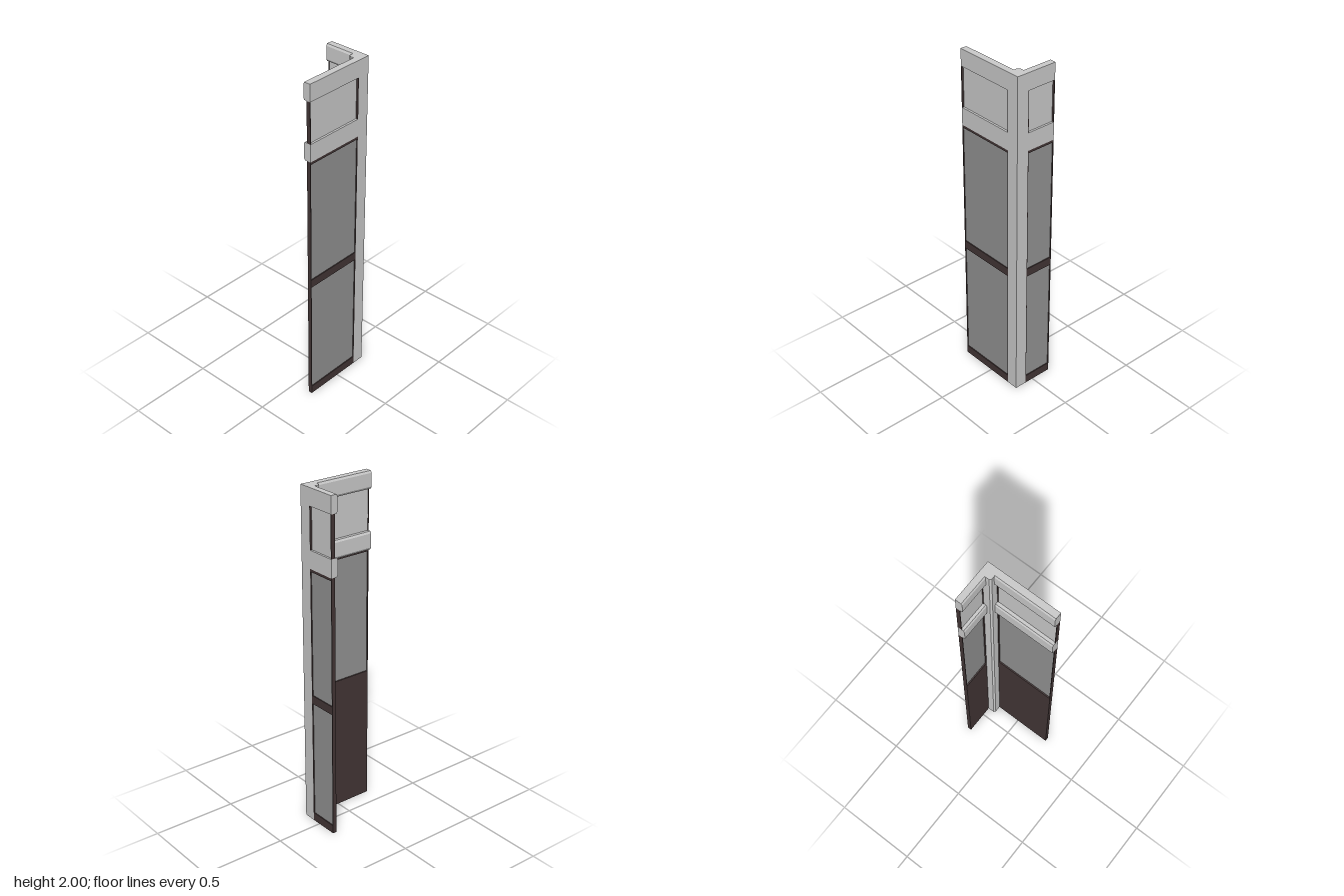
import * as THREE from 'three';

const mat = (name, color) => Object.assign(new THREE.MeshStandardMaterial({ color }), { name });

export function createModel() {
  const plaster = mat('pale plaster', 0xcccccc);
  const pane = mat('grey pane', 0x949494);
  const wood = mat('dark wood', 0x433636);
  const model = new THREE.Group();
  model.name = 'cornerWall';

  // Box given by its ranges along the wall, in height and in depth
  function box(parent, name, material, [x0, x1], [y0, y1], [z0, z1]) {
    const mesh = new THREE.Mesh(new THREE.BoxGeometry(x1 - x0, y1 - y0, z1 - z0), material);
    mesh.position.set((x0 + x1) / 2, (y0 + y1) / 2, (z0 + z1) / 2);
    mesh.name = name;
    parent.add(mesh);
  }

  // Horizontal beam with its two inner edges chamfered
  function beam(parent, name, length, y0, y1, depth) {
    const cy = 0.012, cz = 0.006;
    const section = new THREE.Shape([
      [0, y0], [depth - cz, y0], [depth, y0 + cy],
      [depth, y1 - cy], [depth - cz, y1], [0, y1],
    ].map(([z, y]) => new THREE.Vector2(-z, y)));
    const geo = new THREE.ExtrudeGeometry(section, { depth: length, bevelEnabled: false });
    geo.rotateY(Math.PI / 2);
    const mesh = new THREE.Mesh(geo, plaster);
    mesh.name = name;
    parent.add(mesh);
  }

  // Wall wing: runs along +x, outer face at z = 0, inside towards +z
  function wing(name, length, depth) {
    const g = new THREE.Group();
    g.name = name;
    const frame = 0.024, jamb = 0.004;
    const inner = [jamb, length - jamb];

    beam(g, 'topBeam', length, 1.9, 2, depth);
    beam(g, 'middleBeam', length, 1.555, 1.66, depth);
    box(g, 'upperPanel', plaster, inner, [1.66, 1.9], [0.012, 0.02]);

    // Wooden frame
    for (const x of [0, length - jamb]) {
      box(g, 'jamb', wood, [x, x + jamb], [0, 1.555], [0, frame]);
      box(g, 'upperJamb', wood, [x, x + jamb], [1.66, 1.9], [0, frame]);
    }
    for (const [y0, y1] of [[0, 0.05], [0.76, 0.81], [1.54, 1.555]])
      box(g, 'rail', wood, inner, [y0, y1], [0, frame]);

    // Panes, with the lower one boarded on the inside
    box(g, 'lowerPane', pane, inner, [0.05, 0.76], [0.006, 0.014]);
    box(g, 'innerBoard', wood, inner, [0.05, 0.76], [0.014, frame]);
    box(g, 'upperPane', pane, inner, [0.81, 1.54], [0.006, 0.016]);
    model.add(g);
    return g;
  }

  wing('backWing', 0.181, 0.043).position.set(-0.127, 0, -0.22);
  const side = wing('sideWing', 0.367, 0.045);
  side.rotation.y = -Math.PI / 2;
  side.position.set(0.127, 0, -0.147);

  // Corner post with a chamfered inner corner
  const plan = new THREE.Shape([
    [0.054, -0.22], [0.127, -0.22], [0.127, -0.147], [0.064, -0.147], [0.054, -0.156],
  ].map(([x, z]) => new THREE.Vector2(x, -z)));
  const postGeo = new THREE.ExtrudeGeometry(plan, { depth: 2, bevelEnabled: false });
  postGeo.rotateX(-Math.PI / 2);
  const post = new THREE.Mesh(postGeo, plaster);
  post.name = 'cornerPost';
  model.add(post);

  return model;
}
